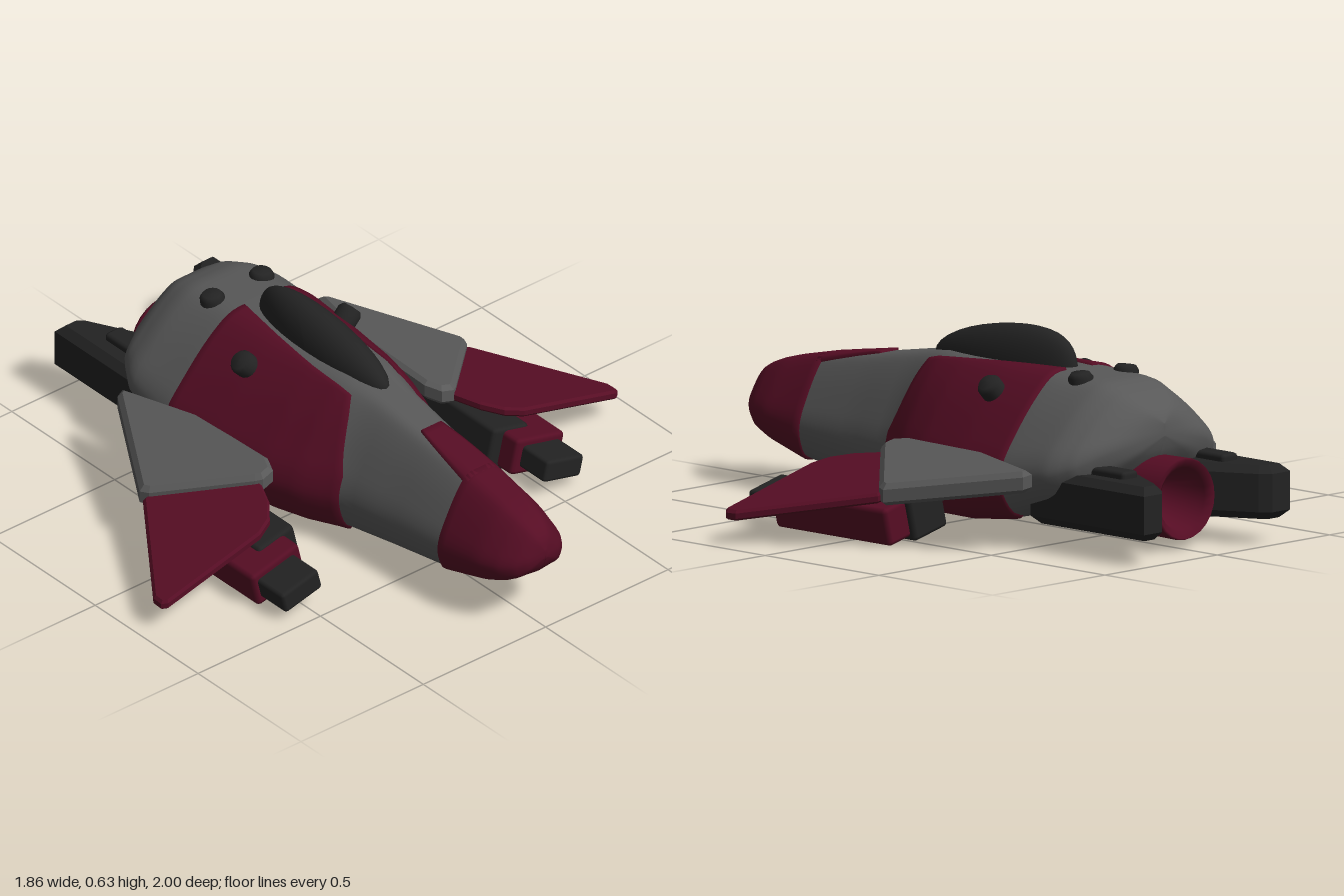
import * as THREE from 'three';
import { RoundedBoxGeometry } from 'three/addons/geometries/RoundedBoxGeometry.js';

// Hull stations: z, half width, top y, bottom y
const STATIONS = [
  [-0.77, 0, 0.40, 0.36], [-0.755, 0.13, 0.43, 0.31], [-0.73, 0.22, 0.455, 0.27],
  [-0.68, 0.31, 0.49, 0.2], [-0.6, 0.358, 0.52, 0.145], [-0.4, 0.37, 0.53, 0.08],
  [-0.2, 0.355, 0.53, 0.055], [0, 0.318, 0.53, 0.05], [0.12, 0.275, 0.53, 0.053],
  [0.24, 0.212, 0.51, 0.06], [0.45, 0.182, 0.475, 0.085], [0.68, 0.163, 0.44, 0.118],
  [0.85, 0.145, 0.405, 0.165], [0.92, 0.122, 0.38, 0.19], [0.965, 0.09, 0.355, 0.215],
  [0.99, 0.05, 0.325, 0.25], [1, 0, 0.29, 0.28],
];

// Half cross-section from top to keel, as fractions of width and height
const SECTION = new THREE.CatmullRomCurve3([
  [0, 1], [0.3, 0.985], [0.52, 0.86], [0.8, 0.61], [0.97, 0.41],
  [1, 0.27], [0.85, 0.06], [0.45, 0.015], [0, -0.02],
].map(([x, y]) => new THREE.Vector3(x, y, 0)));

// Point on the hull: u is -1..1 around the section (0 is the top), grown by off
function hullPoint(u, z, off = 0) {
  let i = 0;
  while (i < STATIONS.length - 2 && z > STATIONS[i + 1][0]) i++;
  const a = STATIONS[i], b = STATIONS[i + 1];
  const k = THREE.MathUtils.clamp((z - a[0]) / (b[0] - a[0]), 0, 1);
  const [, w, top, bottom] = a.map((v, n) => v + (b[n] - v) * k);
  const p = SECTION.getPoint(Math.min(1, Math.abs(u)));
  const low = bottom - off, high = top + off;
  return [Math.sign(u) * p.x * Math.max(0, w + off), low + p.y * (high - low), z];
}

// Grid surface over s, t in 0..1; s runs around the hull and t runs forward
function surface(fn, ns, nt) {
  const pos = [], index = [];
  for (let j = 0; j <= nt; j++)
    for (let i = 0; i <= ns; i++) pos.push(...fn(i / ns, j / nt));
  for (let j = 0; j < nt; j++)
    for (let i = 0; i < ns; i++) {
      const a = j * (ns + 1) + i, c = a + ns + 1;
      index.push(a, c, a + 1, a + 1, c, c + 1);
    }
  const g = new THREE.BufferGeometry();
  g.setAttribute('position', new THREE.Float32BufferAttribute(pos, 3));
  g.setIndex(index);
  g.computeVertexNormals();
  return g;
}

// Thin raised hull plate whose border tucks into the hull; map gives [u, z]
function plate(map, ns, nt) {
  return surface((s, t) => {
    const rim = s === 0 || s === 1 || t === 0 || t === 1;
    const inset = (v, n) => Math.round(v * n) <= 0 ? 0 : v >= 1 ? 1 : (v * n - 0.9) / (n - 1.8);
    const [u, z] = map(inset(s, ns), inset(t, nt));
    return hullPoint(u, z, rim ? -0.004 : 0.008);
  }, ns, nt);
}

// Mirror across x with the winding put right
function mirrored(geometry) {
  const g = geometry.index ? geometry.toNonIndexed() : geometry.clone();
  g.scale(-1, 1, 1);
  for (const attr of Object.values(g.attributes)) {
    const n = attr.itemSize, arr = attr.array;
    for (let i = 0; i < attr.count; i += 3)
      for (let k = 0; k < n; k++) {
        const p = (i + 1) * n + k, q = (i + 2) * n + k;
        [arr[p], arr[q]] = [arr[q], arr[p]];
      }
  }
  return g;
}

// Bevelled slab from an outline in x, z, standing between y0 and y1
function slab(outline, y0, y1, bevel) {
  const shape = new THREE.Shape(outline.map(([x, z]) => new THREE.Vector2(x, -z)));
  const g = new THREE.ExtrudeGeometry(shape, {
    depth: y1 - y0 - 2 * bevel, bevelThickness: bevel, bevelSize: bevel,
    bevelOffset: -bevel, bevelSegments: 1,
  });
  return g.rotateX(-Math.PI / 2).translate(0, y0 + bevel, 0);
}

// Drop a slab's height steadily with x, giving the wing its droop
function droop(g, slope, x0) {
  const p = g.attributes.position;
  for (let i = 0; i < p.count; i++) p.setY(i, p.getY(i) - slope * (p.getX(i) - x0));
  g.computeVertexNormals();
  return g;
}

const box = (w, h, z0, z1, r) =>
  new RoundedBoxGeometry(w, h, z1 - z0, 1, r).translate(0, 0, (z0 + z1) / 2);

export function createModel() {
  const model = new THREE.Group();
  const mat = (name, color) => Object.assign(new THREE.MeshStandardMaterial({ color }), { name });
  const maroon = mat('maroon', 0x560d24);
  const grey = mat('grey', 0x585858);
  const black = mat('black', 0x232323);

  const add = (name, geometry, material) => {
    const mesh = new THREE.Mesh(geometry, material);
    mesh.name = name;
    model.add(mesh);
  };
  const pair = (name, geometry, material) => {
    add(name + 'Left', geometry, material);
    add(name + 'Right', mirrored(geometry), material);
  };

  // Hull with nose cone, nose stripe and side plates
  add('hull', surface((s, t) => hullPoint(2 * s - 1, 0.11 - 0.88 * Math.cos(Math.PI * t)), 64, 56), grey);
  add('noseCone', plate((s, t) => [2 * s - 1, 0.675 + 0.325 * Math.sin(t * Math.PI / 2)], 48, 20), maroon);
  add('noseStripe', plate((s, t) => [(2 * s - 1) * (0.09 + 0.1 * t), 0.44 + 0.26 * t], 12, 12), maroon);
  pair('sidePlate', plate((s, t) => {
    const inner = 0.06 + 0.11 * t;
    const front = 0.17 + 0.08 * Math.min(1, s * 2.2);
    const back = -0.395 - 0.025 * s;
    return [inner + (0.79 - inner) * s, back + (front - back) * t];
  }, 28, 28), maroon);

  // Canopy: narrow teardrop leaning back
  const canopy = new THREE.SphereGeometry(1, 28, 20);
  const cp = canopy.attributes.position;
  for (let i = 0; i < cp.count; i++) {
    const y = cp.getY(i), up = Math.max(0, y);
    cp.setXYZ(i, cp.getX(i) * 0.078, 0.505 + y * 0.135, -0.075 + cp.getZ(i) * 0.305 - up * up * 0.11);
  }
  canopy.computeVertexNormals();
  add('canopy', canopy, black);

  // Round studs on the back
  for (const [name, x, y, z, roll] of [['rearStud', 0.1, 0.515, -0.5, -0.1], ['sideStud', 0.213, 0.472, -0.215, -0.75]]) {
    const stud = new THREE.LatheGeometry([[0.04, -0.03], [0.04, 0.012], [0.03, 0.026], [0, 0.028]]
      .map(([r, h]) => new THREE.Vector2(r, h)), 16);
    pair(name, stud.rotateZ(roll).translate(x, y, z), black);
  }

  // Wings: thick grey root and thin maroon tip
  const root = [[0.32, 0.03], [0.345, 0.085], [0.39, 0.09], [0.41, 0.075], [0.65, -0.155],
    [0.663, -0.185], [0.43, -0.57], [0.40, -0.58], [0.33, -0.3]];
  pair('wingRoot', droop(slab(root, 0.225, 0.295, 0.015), 0.25, 0.34), grey);
  const tip = [[0.39, 0.08], [0.43, 0.17], [0.48, 0.23], [0.54, 0.255], [0.915, 0.255],
    [0.932, 0.24], [0.93, 0.2], [0.665, -0.165], [0.63, -0.17]];
  pair('wingTip', droop(slab(tip, 0.235, 0.268, 0.008), 0.255, 0.34), maroon);

  // Underwing pods, rolled with the wings
  const roll = -0.24;
  const place = (g, x, y) => g.rotateZ(roll).translate(x, y, 0);
  pair('podCasing', place(box(0.2, 0.125, -0.17, 0.335, 0.015), 0.53, 0.092), maroon);
  pair('podBarrel', place(box(0.155, 0.075, 0.2, 0.455, 0.012), 0.535, 0.094), black);
  pair('podMount', place(box(0.15, 0.15, -0.19, 0.265, 0.015), 0.465, 0.105), black);

  // Rear thruster blocks with a raised rib on each
  const block = [[0.12, -0.5], [0.325, -0.5], [0.325, -1], [0.245, -1], [0.215, -0.97], [0.12, -0.79]];
  pair('thrusterBlock', slab(block, 0.09, 0.262, 0.025), black);
  pair('thrusterRib', box(0.07, 0.06, -0.84, -0.62, 0.012).translate(0.222, 0.255, 0), black);

  // Central exhaust nozzle, hollow at the back
  const nozzle = new THREE.LatheGeometry([[0, 0.1], [0.075, 0.1], [0.1, 0.24], [0.125, 0.26], [0.13, 0.25], [0.125, 0]]
    .map(([r, h]) => new THREE.Vector2(r, h)).reverse(), 24);
  add('exhaustNozzle', nozzle.rotateX(-Math.PI / 2).translate(0, 0.17, -0.605), maroon);

  return model;
}
